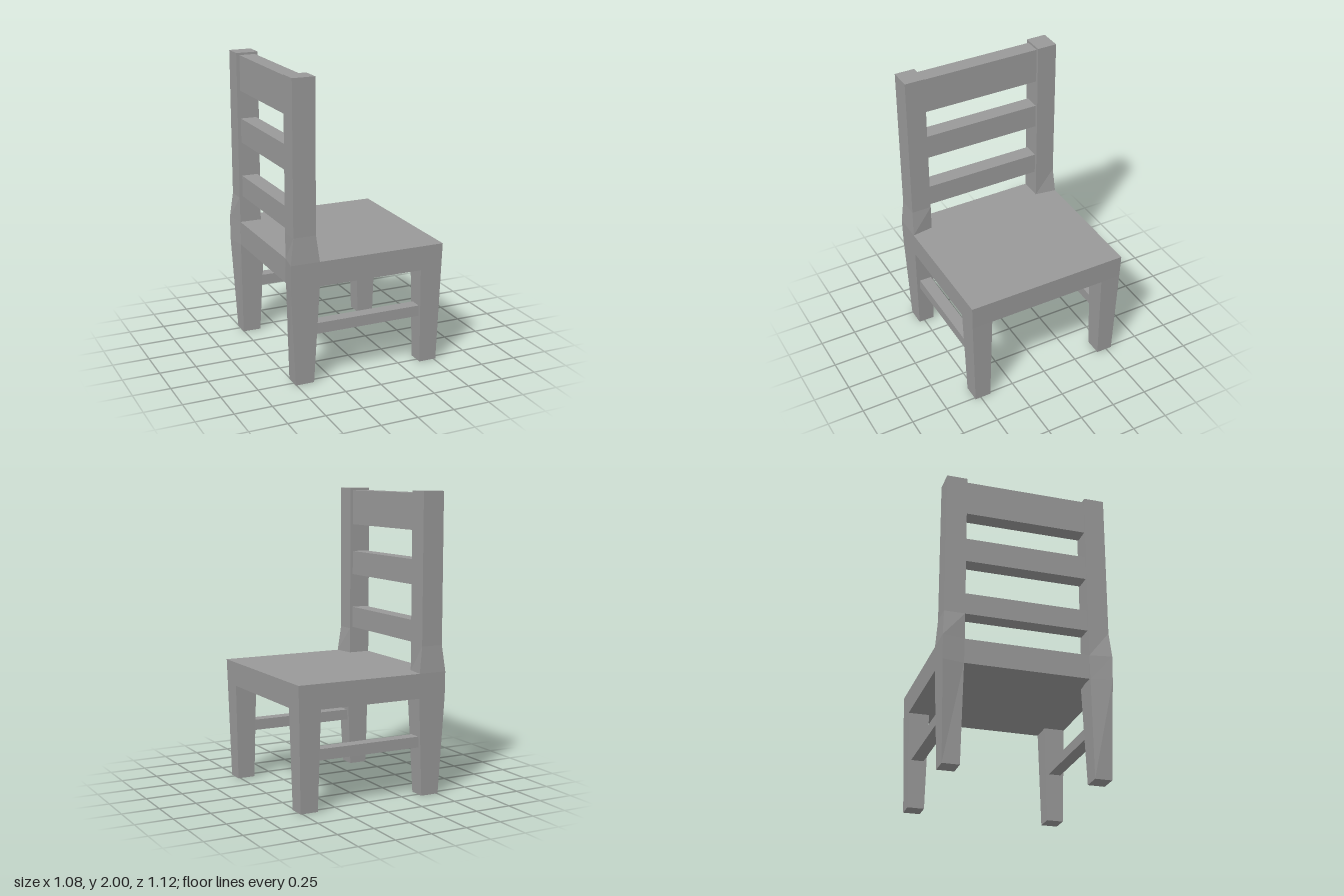
import * as THREE from 'three';

const wood = new THREE.MeshStandardMaterial({ color: 0x999999, flatShading: true });
wood.name = 'grey wood';

// Four-sided loft. Each section: [y, back x outer, front x outer, back x inner, front x inner, inner z, outer z]
function loft(sections, side) {
  const rings = sections.map(([y, bo, fo, bi, fi, zi, zo]) => {
    const ring = [[bi, y, side * zi], [bo, y, side * zo], [fo, y, side * zo], [fi, y, side * zi]];
    return side > 0 ? ring : ring.reverse();
  });
  const pos = [];
  const quad = (a, b, c, d) => pos.push(...a, ...b, ...c, ...a, ...c, ...d);
  for (let i = 0; i < rings.length - 1; i++) {
    const lo = rings[i], hi = rings[i + 1];
    for (let k = 0; k < 4; k++) {
      const n = (k + 1) % 4;
      quad(lo[k], lo[n], hi[n], hi[k]);
    }
  }
  const [a, b, c, d] = rings[0];
  quad(d, c, b, a);
  quad(...rings[rings.length - 1]);
  const geo = new THREE.BufferGeometry();
  geo.setAttribute('position', new THREE.Float32BufferAttribute(pos, 3));
  geo.computeVertexNormals();
  return geo;
}

export function createModel() {
  const chair = new THREE.Group();
  chair.name = 'chair';

  const add = (name, geo) => {
    const mesh = new THREE.Mesh(geo, wood);
    mesh.name = name;
    chair.add(mesh);
    return mesh;
  };
  const bar = (name, x0, x1, y0, y1, z0, z1) =>
    add(name, new THREE.BoxGeometry(x1 - x0, y1 - y0, z1 - z0))
      .position.set((x0 + x1) / 2, (y0 + y1) / 2, (z0 + z1) / 2);

  for (const side of [1, -1]) {
    const tag = side > 0 ? 'Left' : 'Right';
    // Back leg swells at the seat, then continues up as the backrest post
    add('backPost' + tag, loft([
      [0, -0.505, -0.378, -0.505, -0.378, 0.428, 0.54],
      [0.66, -0.54, -0.343, -0.515, -0.343, 0.415, 0.557],
      [0.825, -0.54, -0.343, -0.515, -0.365, 0.413, 0.56],
      [1.0, -0.517, -0.365, -0.517, -0.365, 0.413, 0.55],
      [2, -0.517, -0.365, -0.517, -0.365, 0.413, 0.55],
    ], side));
    // Tapered front leg
    add('frontLeg' + tag, loft([
      [0, 0.392, 0.514, 0.392, 0.514, 0.428, 0.54],
      [0.66, 0.378, 0.53, 0.378, 0.53, 0.415, 0.557],
    ], side));
    // Stretcher between front and back legs
    const z = side * 0.485;
    bar('stretcher' + tag, -0.37, 0.395, 0.327, 0.4, z - 0.042, z + 0.042);
  }

  // Seat slab: one loft per half, notched around the swollen posts
  const seat = new THREE.Group();
  seat.name = 'seat';
  chair.add(seat);
  const slab = (zi, zo, back) => loft([
    [0.66, back, 0.53, back, 0.53, zi, zo - 0.003],
    [0.825, back, 0.535, back, 0.535, zi, zo],
  ], 1);
  const parts = [slab(-0.413, 0.413, -0.515), slab(0.41, 0.56, -0.4), slab(0.41, 0.56, -0.4)];
  parts.forEach((geo, i) => {
    const mesh = new THREE.Mesh(geo, wood);
    mesh.name = ['seatMiddle', 'seatLeftEdge', 'seatRightEdge'][i];
    seat.add(mesh);
  });
  // Right edge is the left edge turned over to the other side
  parts[2].dispose();
  seat.children[2].geometry = loft([
    [0.66, -0.4, 0.53, -0.4, 0.53, 0.41, 0.557],
    [0.825, -0.4, 0.535, -0.4, 0.535, 0.41, 0.56],
  ], -1);

  // Backrest slats
  [[1.01, 1.155], [1.39, 1.555], [1.745, 1.985]].forEach(([y0, y1], i) =>
    bar('backSlat' + (i + 1), -0.495, -0.385, y0, y1, -0.42, 0.42));

  return chair;
}
